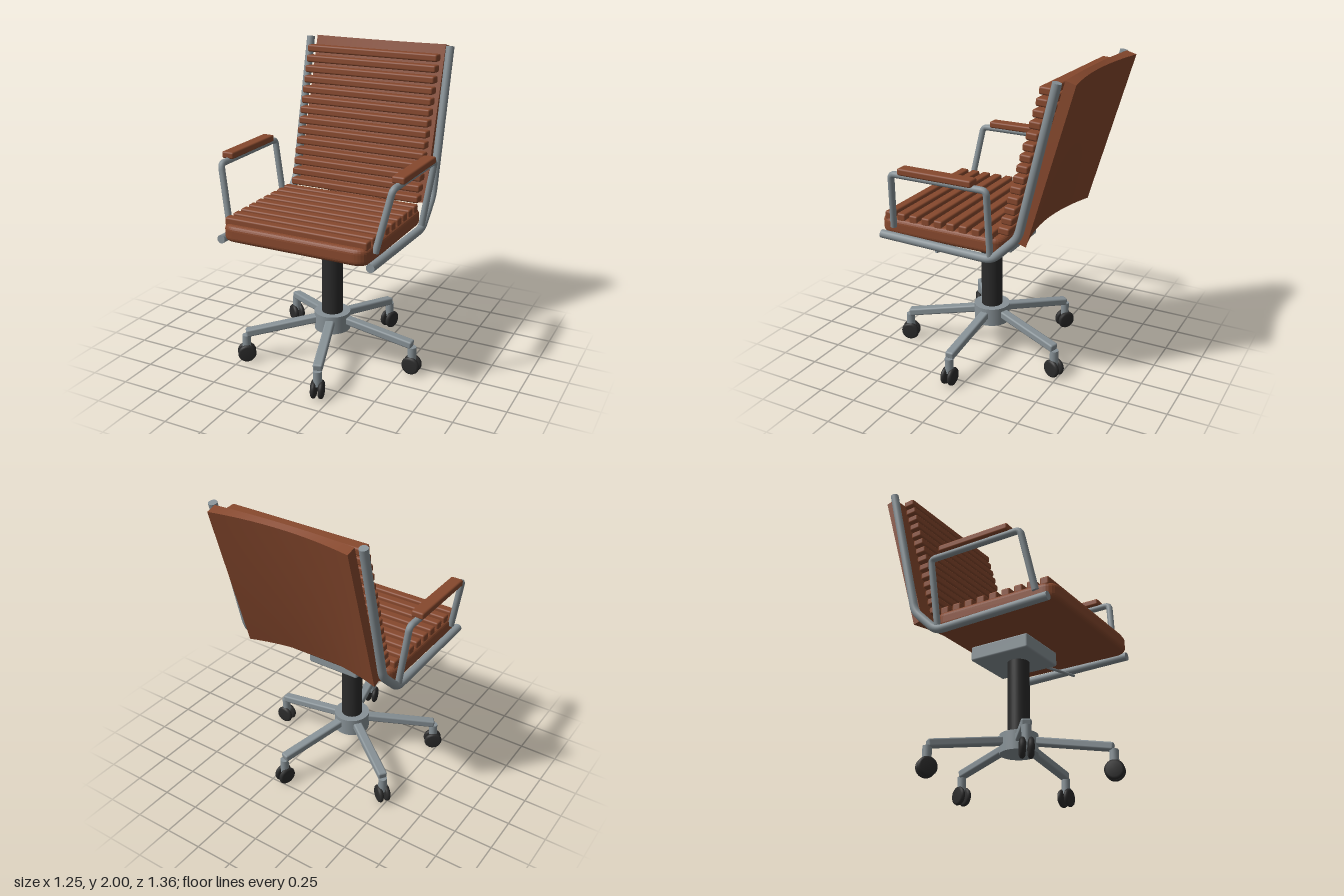
import * as THREE from 'three';
import { RoundedBoxGeometry } from 'three/addons/geometries/RoundedBoxGeometry.js';

const leather = new THREE.MeshStandardMaterial({ color: 0x86482d });
leather.name = 'brown leather';
const metal = new THREE.MeshStandardMaterial({ color: 0x879196 });
metal.name = 'grey metal';
const black = new THREE.MeshStandardMaterial({ color: 0x2b2b2b });
black.name = 'black plastic';

const CX = -0.006; // chair axis
const CZ = 0.074;

function add(parent, name, geometry, material, x = 0, y = 0, z = 0) {
  const mesh = new THREE.Mesh(geometry, material);
  mesh.name = name;
  mesh.position.set(x, y, z);
  parent.add(mesh);
  return mesh;
}

// Bent tube through corner points, with rounded bends and flat end caps
function bentTube(parent, name, coords, radius, bend) {
  const pts = coords.map((c) => new THREE.Vector3(...c));
  const path = new THREE.CurvePath();
  let from = pts[0];
  for (let i = 1; i < pts.length - 1; i++) {
    const p = pts[i];
    const a = p.clone().add(pts[i - 1].clone().sub(p).setLength(bend));
    const b = p.clone().add(pts[i + 1].clone().sub(p).setLength(bend));
    path.add(new THREE.LineCurve3(from, a));
    path.add(new THREE.QuadraticBezierCurve3(a, p, b));
    from = b;
  }
  path.add(new THREE.LineCurve3(from, pts[pts.length - 1]));
  const group = new THREE.Group();
  group.name = name;
  parent.add(group);
  add(group, name + 'Tube', new THREE.TubeGeometry(path, 100, radius, 16), metal);
  for (const [end, next] of [[pts[0], pts[1]], [pts[pts.length - 1], pts[pts.length - 2]]]) {
    const cap = add(group, name + 'Cap', new THREE.CircleGeometry(radius, 16), metal, end.x, end.y, end.z);
    cap.lookAt(end.clone().multiplyScalar(2).sub(next));
  }
}

// Seat cushion: rounded plan with a bevelled edge
function seatGeometry(w, d, h, r, bevel) {
  const x = w / 2 - bevel, y = d / 2 - bevel;
  const s = new THREE.Shape();
  s.moveTo(-x + r, -y);
  s.lineTo(x - r, -y).quadraticCurveTo(x, -y, x, -y + r);
  s.lineTo(x, y - r).quadraticCurveTo(x, y, x - r, y);
  s.lineTo(-x + r, y).quadraticCurveTo(-x, y, -x, y - r);
  s.lineTo(-x, -y + r).quadraticCurveTo(-x, -y, -x + r, -y);
  const g = new THREE.ExtrudeGeometry(s, {
    depth: h - 2 * bevel, bevelSize: bevel, bevelThickness: bevel, bevelSegments: 5, curveSegments: 8,
  });
  g.translate(0, 0, -h / 2 + bevel);
  return g.rotateX(-Math.PI / 2);
}

// Leaning back shell, hollowed towards the sitter and thinner in the middle
function backShellGeometry() {
  const H = 0.986, W = 0.932;
  const g = new THREE.BoxGeometry(W, H, 0.064, 24, 16, 1);
  const p = g.attributes.position;
  for (let i = 0; i < p.count; i++) {
    const x = p.getX(i), y = p.getY(i), z = p.getZ(i);
    const u = 1 - (2 * x / W) ** 2;
    const v = y / H + 0.5;
    const bow = u * ((z > 0 ? 0.02 : 0.05) + 0.03 * (1 - v) ** 2);
    p.setXYZ(i, x, y + 0.28 * z, z - 0.289 * y + bow);
  }
  g.computeVertexNormals();
  return g;
}

function createBase(root) {
  const base = new THREE.Group();
  base.name = 'base';
  base.position.set(CX, 0, CZ);
  root.add(base);
  add(base, 'hub', new THREE.CylinderGeometry(0.118, 0.118, 0.12, 32), metal, 0, 0.26, 0);
  add(base, 'column', new THREE.CylinderGeometry(0.069, 0.069, 0.49, 32), black, 0, 0.555, 0);

  const wheelProfile = [[0, -0.0165], [0.045, -0.0165], [0.056, -0.01], [0.06, 0], [0.056, 0.01],
    [0.045, 0.0165], [0, 0.0165]].map((c) => new THREE.Vector2(...c));
  const wheel = new THREE.LatheGeometry(wheelProfile, 28).rotateX(Math.PI / 2);

  for (let i = 0; i < 5; i++) {
    const leg = new THREE.Group();
    leg.name = 'baseLeg';
    leg.rotation.y = (i * Math.PI * 2) / 5;
    base.add(leg);
    const arm = add(leg, 'legArm', new RoundedBoxGeometry(0.54, 0.05, 0.06, 2, 0.012), metal, 0.305, 0.241, 0);
    arm.rotation.z = -0.152;
    add(leg, 'casterStem', new THREE.CylinderGeometry(0.028, 0.028, 0.1, 16), metal, 0.57, 0.135, 0);
    for (const s of [-1, 1]) add(leg, 'casterWheel', wheel, black, 0.57, 0.06, s * 0.0235);
  }
}

export function createModel() {
  const root = new THREE.Group();
  root.name = 'officeChair';
  createBase(root);

  // Tilt mechanism and its lever
  add(root, 'mechanism', new RoundedBoxGeometry(0.365, 0.095, 0.41, 2, 0.012), metal, CX - 0.004, 0.843, 0.045);
  bentTube(root, 'lever', [[0.12, 0.826, 0.12], [0.43, 0.826, 0.232]], 0.009, 0);

  // Seat with cross ribs
  add(root, 'seat', seatGeometry(0.98, 0.86, 0.108, 0.06, 0.032), leather, CX, 0.961, 0.183);
  const seatRib = new RoundedBoxGeometry(0.957, 0.055, 0.06, 3, 0.012);
  for (let i = 0; i < 9; i++) add(root, 'seatRib', seatRib, leather, CX, 1.025, -0.16 + i * 0.088);

  // Backrest shell with cross ribs
  add(root, 'backShell', backShellGeometry(), leather, CX - 0.002, 1.497, -0.51);
  const backRib = new RoundedBoxGeometry(0.926, 0.047, 0.076, 3, 0.012);
  for (let i = 0; i < 14; i++) {
    const rib = add(root, 'backRib', backRib, leather, CX, 1.064 + i * 0.0665, -0.251 - i * 0.0193);
    rib.rotation.x = -0.06;
  }

  // Side frames and armrests, mirrored
  for (const s of [-1, 1]) {
    const X = (x) => CX + s * x;
    bentTube(root, 'sideFrame', [
      [X(0.504), 0.907, 0.585], [X(0.504), 0.89, -0.195], [X(0.504), 1.06, -0.367], [X(0.504), 1.993, -0.592],
    ], 0.027, 0.05);
    bentTube(root, 'armFrame', [
      [X(0.495), 0.97, 0.498], [X(0.574), 1.345, 0.447], [X(0.574), 1.345, -0.2], [X(0.504), 0.9, -0.185],
    ], 0.021, 0.03);
    add(root, 'armPad', new RoundedBoxGeometry(0.083, 0.044, 0.498, 3, 0.012), leather, X(0.574), 1.379, 0.129);
  }
  return root;
}
